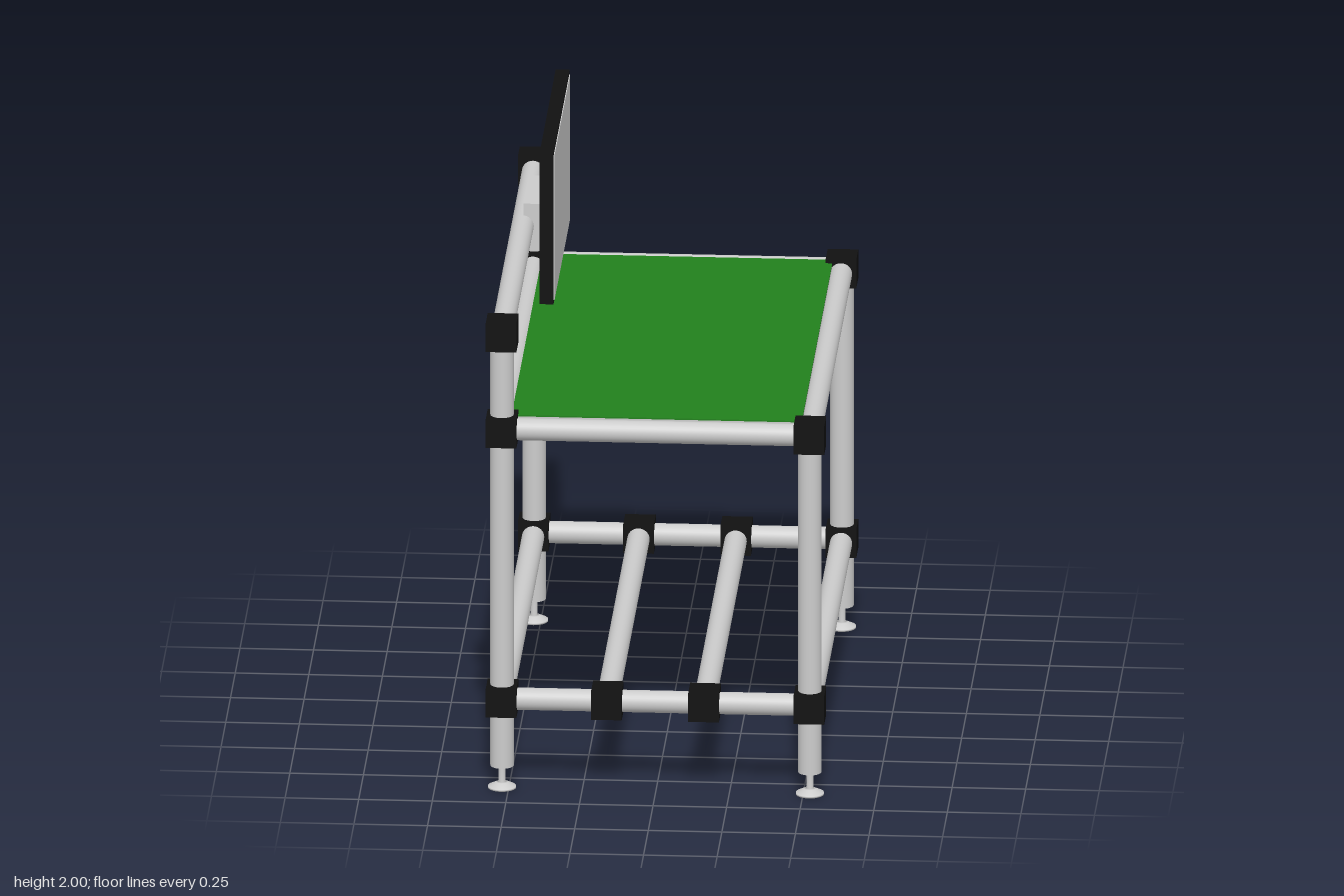
import * as THREE from 'three';

const X = 0.523, Z = 0.845;                    // post centre lines
const LOW = 0.32, TOP = 1.29, RAIL = 1.635;    // frame levels
const TUBE = 0.038, HUB = 0.104;

const grey = new THREE.MeshStandardMaterial({ color: 0xcccccc });
const black = new THREE.MeshStandardMaterial({ color: 0x111111 });
const green = new THREE.MeshStandardMaterial({ color: 0x22801c });

export function createModel() {
  const model = new THREE.Group();

  const add = (name, geometry, material, x, y, z) => {
    const mesh = new THREE.Mesh(geometry, material);
    mesh.name = name;
    mesh.position.set(x, y, z);
    model.add(mesh);
    return mesh;
  };
  // box given by its min and max corners
  const box = (name, material, [x0, y0, z0], [x1, y1, z1]) =>
    add(name, new THREE.BoxGeometry(x1 - x0, y1 - y0, z1 - z0), material,
      (x0 + x1) / 2, (y0 + y1) / 2, (z0 + z1) / 2);
  const tube = (name, length, axis, x, y, z, r = TUBE) => {
    const mesh = add(name, new THREE.CylinderGeometry(r, r, length, 32), grey, x, y, z);
    if (axis === 'x') mesh.rotation.z = Math.PI / 2;
    if (axis === 'z') mesh.rotation.x = Math.PI / 2;
  };
  const hub = (x, y, z) =>
    add('connector', new THREE.BoxGeometry(HUB, HUB, HUB), black, x, y, z);

  // levelling foot: flared pad and threaded stem
  const footGeometry = new THREE.LatheGeometry([
    [0, 0], [0.048, 0], [0.048, 0.006], [0.02, 0.02], [0.012, 0.022], [0.012, 0.09],
  ].map(([r, y]) => new THREE.Vector2(r, y)), 32);

  // posts, feet, corner connectors and cross rails
  for (const z of [-Z, Z]) {
    for (const x of [-X, X]) {
      const height = x < 0 ? RAIL : TOP;
      tube('post', height - 0.08, 'y', x, (height + 0.08) / 2, z, 0.04);
      add('foot', footGeometry, grey, x, 0, z);
      hub(x, LOW, z);
      hub(x, TOP, z);
    }
    hub(-X, RAIL, z);
    for (const x of [-0.165, 0.165]) hub(x, LOW, z);
    for (const y of [LOW, TOP]) tube('crossRail', 2 * X, 'x', 0, y, z);
  }

  // long rails: lower shelf, table frame and raised rail
  for (const x of [-X, -0.165, 0.165, X]) tube('shelfRail', 2 * Z, 'z', x, LOW, 0);
  for (const x of [-X, X]) tube('tableRail', 2 * Z, 'z', x, TOP, 0);
  tube('upperRail', 2 * Z, 'z', -X, RAIL, 0);

  // table board with a green mat
  box('tableBoard', grey, [-0.493, 1.262, -0.829], [0.493, 1.322, 0.807]);
  box('tableMat', green, [-0.493, 1.322, -0.829], [0.493, 1.327, 0.807]);

  // monitor on a bracket, facing the table
  box('monitorBracket', grey, [-0.52, 1.547, -0.525], [-0.445, 1.715, -0.24]);
  box('monitorCase', black, [-0.447, 1.455, -0.802], [-0.4, 2, 0.042]);
  box('monitorScreen', grey, [-0.41, 1.467, -0.79], [-0.397, 1.988, 0.03]);

  return model;
}
